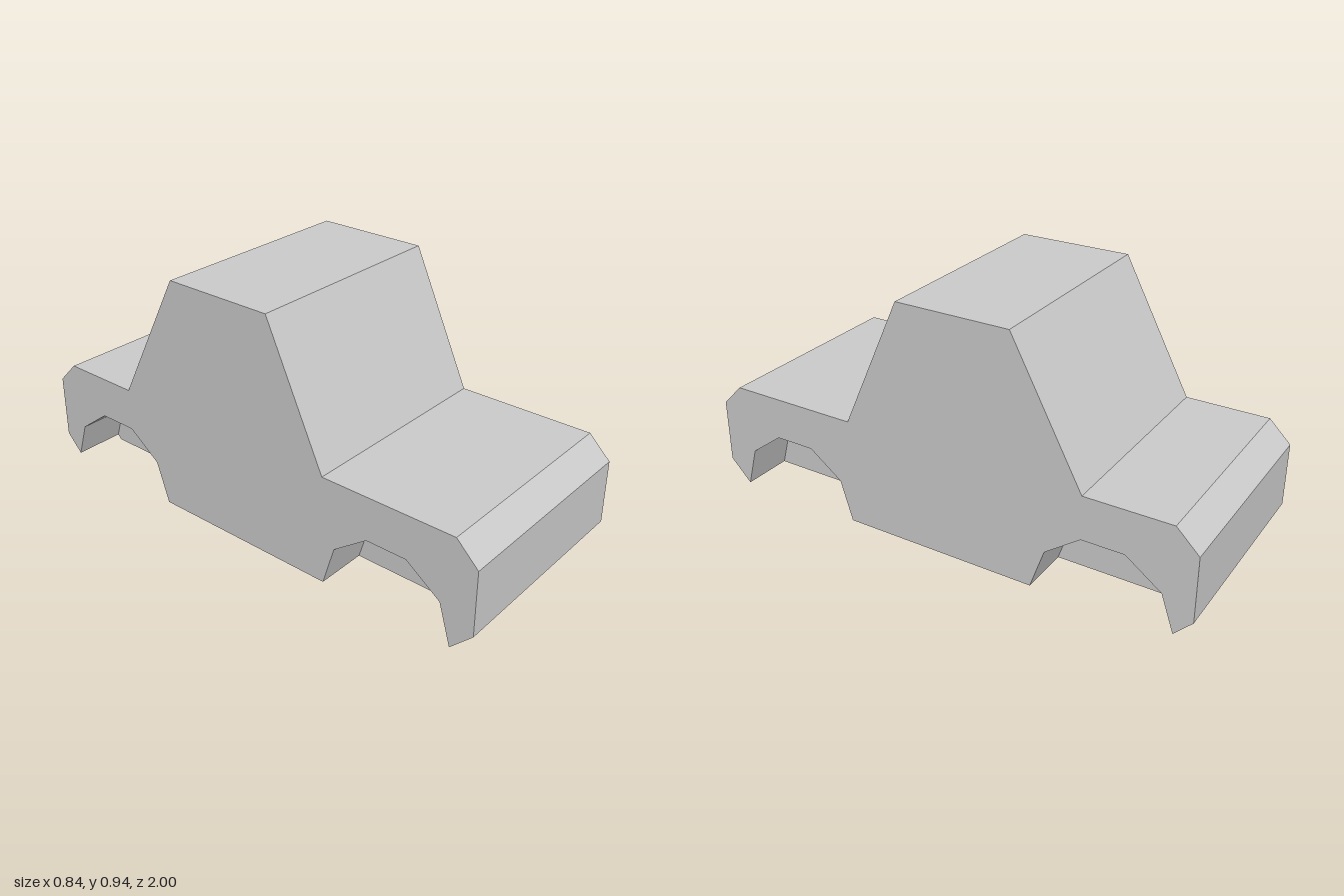
import * as THREE from 'three';

const HALF = 0.422; // half the body width
const CORE = 0.22;  // half the width between the wheel wells

// Profiles are [z, y] points, running up the front, over the roof, down the back
// and then forward along the underside.
const skin = [
  [0.914, 0], [1, 0.087], [1, 0.34], [0.914, 0.425], [0.38, 0.425], [0.14, 0.945],
  [-0.308, 0.945], [-0.585, 0.425], [-0.914, 0.425], [-1, 0.34], [-1, 0.087], [-0.932, 0.017],
];
const rearWell = [
  [-0.932, 0.017], [-0.884, 0.158], [-0.748, 0.257], [-0.586, 0.257], [-0.45, 0.158], [-0.396, 0],
];
const frontWell = [
  [0.386, 0], [0.434, 0.158], [0.57, 0.257], [0.732, 0.257], [0.868, 0.158], [0.914, 0],
];

export function createModel() {
  const model = new THREE.Group();
  model.name = 'car';
  const material = new THREE.MeshStandardMaterial({ color: 0xcccccc, flatShading: true });

  const add = (parent, name, geometry) => {
    const mesh = new THREE.Mesh(geometry, material);
    mesh.name = name;
    parent.add(mesh);
  };

  // Sweep a profile sideways from x0 to x1 as flat panels
  const strip = (points, x0, x1) => {
    const pos = [];
    for (let i = 0; i < points.length - 1; i++) {
      const [za, ya] = points[i];
      const [zb, yb] = points[i + 1];
      pos.push(x0, ya, za, x1, ya, za, x1, yb, zb);
      pos.push(x0, ya, za, x1, yb, zb, x0, yb, zb);
    }
    const g = new THREE.BufferGeometry();
    g.setAttribute('position', new THREE.Float32BufferAttribute(pos, 3));
    g.computeVertexNormals();
    return g;
  };

  // Flat wall at distance x from the centre, facing outward on the given side
  const wall = (points, side, x) => {
    const shape = new THREE.Shape(points.map(([z, y]) => new THREE.Vector2(-side * z, y)));
    return new THREE.ShapeGeometry(shape).rotateY(side * Math.PI / 2).translate(side * x, 0, 0);
  };

  // Bonnet, windscreen, roof and boot
  add(model, 'bodyShell', strip(skin, -HALF, HALF));

  // Underside: full width between the wells, narrow beside them
  const rearEdge = [-0.915, 0];
  add(model, 'middleFloor', strip([rearWell.at(-1), frontWell[0]], -HALF, HALF));
  add(model, 'frontFloor', strip([frontWell[0], frontWell.at(-1)], -CORE, CORE));
  add(model, 'rearFloor', strip([rearWell[0], rearEdge, rearWell.at(-1)], -CORE, CORE));

  // Side panels with wheel wells
  for (const side of [1, -1]) {
    const group = new THREE.Group();
    group.name = side > 0 ? 'leftSide' : 'rightSide';
    model.add(group);
    const [x0, x1] = side > 0 ? [CORE, HALF] : [-HALF, -CORE];

    add(group, 'sidePanel', wall([...skin, ...rearWell.slice(1), ...frontWell.slice(0, -1)], side, HALF));
    add(group, 'frontWheelArch', strip(frontWell, x0, x1));
    add(group, 'rearWheelArch', strip(rearWell, x0, x1));
    add(group, 'frontWellWall', wall(frontWell, side, CORE));
    add(group, 'rearWellWall', wall([...rearWell, rearEdge], side, CORE));
  }
  return model;
}
